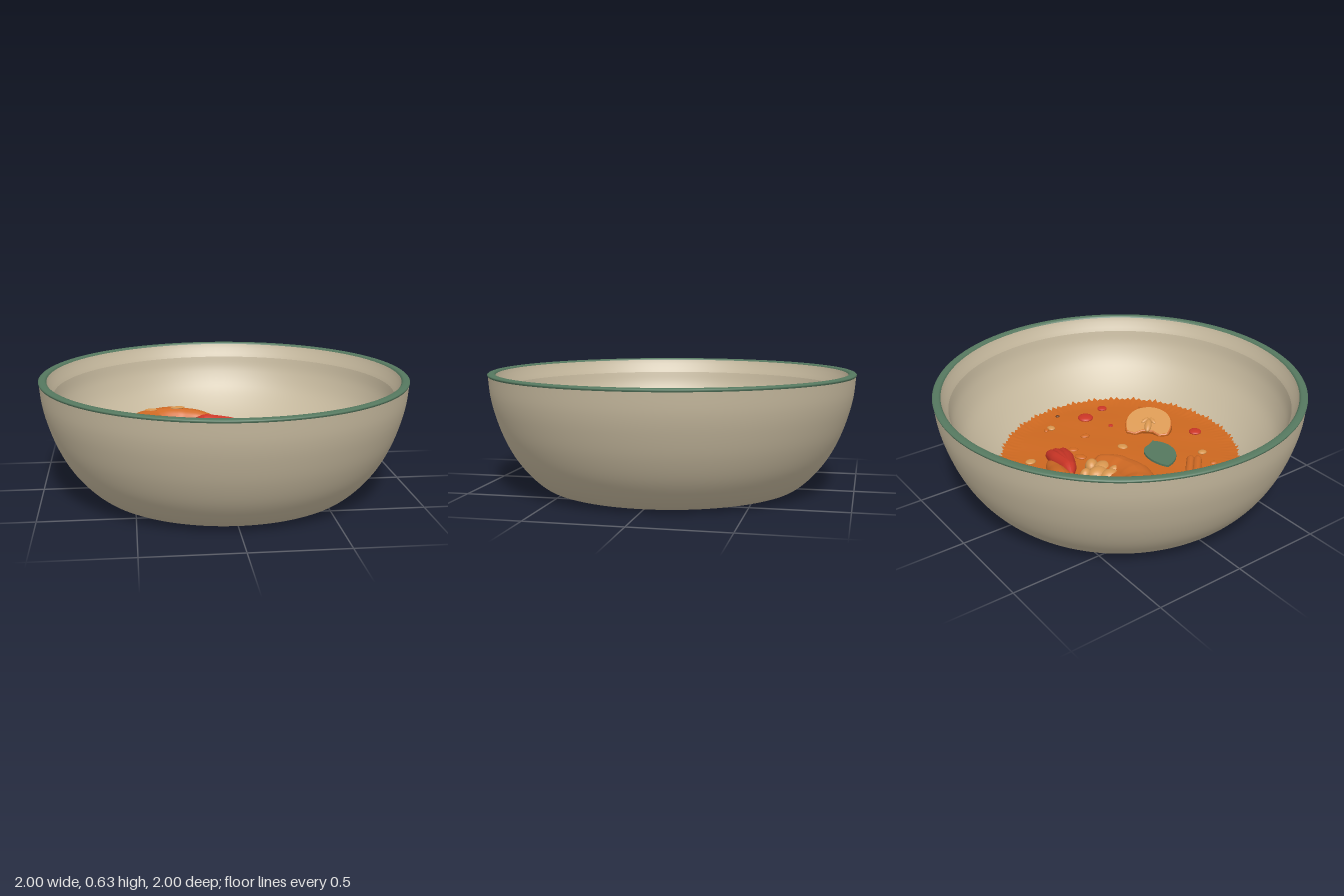
import * as THREE from 'three';

const mat = (name, color) => {
  const m = new THREE.MeshStandardMaterial({ color });
  m.name = name;
  return m;
};
const M = {
  cream: mat('cream ceramic', 0xc6b99e),
  green: mat('green glaze', 0x55785f),
  orange: mat('orange broth', 0xcd6820),
  shrimp: mat('shrimp orange', 0xd06a24),
  tan: mat('pale tan', 0xd6954e),
  red: mat('chilli red', 0xca3526),
  dark: mat('dark speck', 0x6b3a1c),
};
const SOUP = 0.195;

export function createModel() {
  const root = new THREE.Group();
  const add = (name, geo, material, parent = root) => {
    const m = new THREE.Mesh(geo, material);
    m.name = name;
    parent.add(m);
    return m;
  };
  const v2 = (pts) => pts.map(([x, y]) => new THREE.Vector2(x, y));
  const lathe = (pts) => new THREE.LatheGeometry(v2(pts), 128);
  const smoothLathe = (pts, n) => new THREE.LatheGeometry(new THREE.SplineCurve(v2(pts)).getPoints(n), 128);

  // Ellipsoid lying in the broth
  const blob = (name, x, y, z, sx, sy, sz, material, turn = 0, parent = root) => {
    const m = add(name, new THREE.SphereGeometry(1, 20, 14), material, parent);
    m.position.set(x, y, z);
    m.scale.set(sx, sy, sz);
    m.rotation.y = turn;
  };

  // Tube through [x, y, z, radius] points, with an optional ripple along its length
  const taper = (pts, n = 40, sides = 16, ripple = () => 1) => {
    const curve = new THREE.CatmullRomCurve3(pts.map((p) => new THREE.Vector3(p[0], p[1], p[2])));
    const geo = new THREE.TubeGeometry(curve, n, 1, sides, false);
    const pos = geo.attributes.position;
    const v = new THREE.Vector3();
    for (let i = 0; i <= n; i++) {
      const u = i / n;
      const t = curve.getUtoTmapping(u) * (pts.length - 1);
      const k = Math.min(Math.floor(t), pts.length - 2);
      const r = THREE.MathUtils.lerp(pts[k][3], pts[k + 1][3], t - k) * ripple(u);
      const c = curve.getPointAt(u);
      for (let j = 0; j <= sides; j++) {
        const id = i * (sides + 1) + j;
        v.fromBufferAttribute(pos, id).sub(c).multiplyScalar(r).add(c);
        pos.setXYZ(id, v.x, v.y, v.z);
      }
    }
    geo.computeVertexNormals();
    return geo;
  };

  // Bowl: foot, outer wall, glazed rim, inner lip and basin
  const bowl = new THREE.Group();
  bowl.name = 'bowl';
  root.add(bowl);
  add('bowlFoot', lathe([[0, 0.004], [0.62, 0.004], [0.66, 0.008]]), M.cream, bowl);
  add('bowlOuterWall', smoothLathe([[0.66, 0.008], [0.71, 0.025], [0.785, 0.09], [0.86, 0.185],
    [0.92, 0.3], [0.962, 0.42], [0.985, 0.52], [0.995, 0.621]], 36), M.cream, bowl);
  add('bowlRim', smoothLathe([[0.995, 0.621], [0.998, 0.63], [0.99, 0.636], [0.975, 0.638],
    [0.961, 0.636], [0.954, 0.628]], 16), M.green, bowl);
  add('bowlInnerLip', lathe([[0.954, 0.628], [0.946, 0.603], [0.93, 0.573], [0.92, 0.552]]), M.cream, bowl);
  add('bowlBasin', smoothLathe([[0.92, 0.552], [0.9, 0.47], [0.85, 0.37], [0.77, 0.28],
    [0.68, 0.205], [0.6, 0.16], [0.4, 0.125], [0, 0.115]], 32), M.cream, bowl);

  // Broth surface with gentle ripples and a ragged edge climbing the wall
  const SEG = 240, RINGS = 14;
  const soup = new THREE.RingGeometry(0.001, 0.657, SEG, RINGS);
  soup.rotateX(-Math.PI / 2);
  const sp = soup.attributes.position;
  for (let i = 0; i < sp.count; i++) {
    const ring = Math.floor(i / (SEG + 1)), j = (i % (SEG + 1)) % SEG;
    const x = sp.getX(i), z = sp.getZ(i);
    if (ring === RINGS) {
      const k = j % 2 ? (0.669 + 0.006 * Math.sin(j * 2.3)) / 0.657 : 1;
      sp.setXYZ(i, x * k, SOUP + 0.005 + (k - 1) * 0.5, z * k);
    } else sp.setY(i, SOUP + 0.003 * Math.sin(x * 13 + 1) * Math.cos(z * 15));
  }
  soup.computeVertexNormals();
  add('broth', soup, M.orange);

  // Shrimp: curled body with shell segments, filled inside the curl
  const shrimp = new THREE.Group();
  shrimp.name = 'shrimp';
  root.add(shrimp);
  const shell = (u) => 0.98 + 0.05 * Math.abs(Math.sin(u * Math.PI * 7));
  add('shrimpBody', taper([[-0.01, 0.2, -0.18, 0.002], [-0.035, 0.2, -0.175, 0.06],
    [-0.15, 0.195, -0.13, 0.092], [-0.3, 0.195, -0.125, 0.107], [-0.41, 0.205, -0.19, 0.112],
    [-0.455, 0.215, -0.3, 0.107], [-0.43, 0.225, -0.41, 0.1], [-0.34, 0.235, -0.485, 0.092],
    [-0.23, 0.245, -0.505, 0.08], [-0.12, 0.245, -0.475, 0.068], [-0.02, 0.235, -0.435, 0.05],
    [0.07, 0.222, -0.405, 0.034], [0.17, 0.2, -0.365, 0.004]], 110, 22, shell), M.shrimp, shrimp);
  add('shrimpInnerBelly', taper([[-0.2, 0.2, -0.42, 0.004], [-0.31, 0.21, -0.38, 0.065],
    [-0.34, 0.215, -0.27, 0.075], [-0.26, 0.205, -0.21, 0.065], [-0.13, 0.195, -0.2, 0.06],
    [-0.05, 0.19, -0.22, 0.045]], 40), M.shrimp, shrimp);
  blob('shrimpCurlFill', -0.18, 0.19, -0.29, 0.13, 0.05, 0.09, M.shrimp, 0, shrimp);

  // Pale meat lobes in the curl
  for (const [x, z, r] of [[-0.22, -0.225, 0.055], [-0.16, -0.265, 0.06], [-0.13, -0.215, 0.06],
    [-0.075, -0.245, 0.045], [-0.135, -0.325, 0.038], [-0.2, -0.18, 0.04]]) {
    blob('shrimpMeat', x, 0.235, z, r, 0.04, r * 0.8, M.tan, x * 9, shrimp);
  }
  // Pale markings on the back
  for (const [x, y, z, sx, sz] of [[-0.39, 0.325, -0.46, 0.038, 0.022], [-0.23, 0.326, -0.495, 0.045, 0.024],
    [-0.08, 0.294, -0.455, 0.03, 0.02]]) {
    blob('shrimpMarking', x, y, z, sx, 0.007, sz, M.tan, 0.2, shrimp);
  }
  // Red tail fan
  for (const [ex, ez, mx, mz] of [[0.215, -0.335, 0.08, -0.37], [0.22, -0.295, 0.07, -0.345],
    [0.2, -0.25, 0.055, -0.32]]) {
    add('shrimpTailFin', taper([[-0.13, 0.27, -0.41, 0.012], [-0.07, 0.27, -0.385, 0.04],
      [mx, 0.25, mz, 0.04], [(mx + ex) / 2 + 0.02, 0.228, (mz + ez) / 2, 0.03], [ex, 0.2, ez, 0.01]], 24, 12),
    M.red, shrimp);
  }

  // Mushroom slice: half cap tilted up on its round side, with a stem in the middle
  const mushroom = new THREE.Group();
  mushroom.name = 'mushroomSlice';
  mushroom.position.set(0.093, SOUP + 0.015, 0.267);
  mushroom.rotation.y = -Math.PI / 4;
  root.add(mushroom);
  const tilt = new THREE.Group();
  tilt.name = 'mushroomTilt';
  tilt.rotation.z = 0.42;
  mushroom.add(tilt);
  const cap = new THREE.Shape(v2([[0, -0.03], [-0.025, -0.07], [-0.015, -0.115]]));
  cap.bezierCurveTo(0.08, -0.155, 0.165, -0.11, 0.17, 0);
  cap.bezierCurveTo(0.165, 0.11, 0.08, 0.155, -0.015, 0.115);
  cap.lineTo(-0.025, 0.07);
  cap.lineTo(0, 0.03);
  const capBody = new THREE.ExtrudeGeometry(cap, { depth: 0.05, bevelEnabled: true, bevelSize: 0.008,
    bevelThickness: 0.008, bevelSegments: 2, curveSegments: 20 });
  capBody.rotateX(-Math.PI / 2);
  add('mushroomCap', capBody, M.orange, tilt).position.y = -0.05;
  const face = new THREE.ShapeGeometry(cap, 20);
  face.rotateX(-Math.PI / 2);
  add('mushroomFace', face, M.tan, tilt).position.y = 0.011;
  blob('mushroomStem', 0.03, 0.012, 0, 0.045, 0.016, 0.02, M.tan, 0, tilt);
  for (const s of [-1, 1]) blob('mushroomGill', 0.07, 0.01, s * 0.022, 0.028, 0.01, 0.012, M.tan, s * 0.7, tilt);

  // Herb leaf
  const leafShape = new THREE.Shape();
  leafShape.moveTo(-0.145, 0.01);
  leafShape.bezierCurveTo(-0.09, 0.08, 0.04, 0.11, 0.09, 0.05);
  leafShape.quadraticCurveTo(0.11, 0.01, 0.14, -0.01);
  leafShape.bezierCurveTo(0.09, -0.12, -0.08, -0.12, -0.145, 0.01);
  const leafGeo = new THREE.ExtrudeGeometry(leafShape, { depth: 0.012, bevelEnabled: false, curveSegments: 16 });
  leafGeo.rotateX(-Math.PI / 2);
  const leaf = add('herbLeaf', leafGeo, M.green);
  leaf.position.set(-0.145, SOUP + 0.003, 0.17);
  leaf.rotation.y = -0.28;

  // Lemongrass stick, made of two ridges, and a curled strand
  for (const [d, r] of [[-0.014, 0.024], [0.014, 0.022]]) {
    add('lemongrassStick', taper([[-0.475 + d, SOUP, 0.125 - d, 0.004], [-0.47 + d, SOUP, 0.13 - d, r],
      [-0.38 + d, SOUP + 0.004, 0.215 - d, r], [-0.3 + d, SOUP + 0.006, 0.29 - d, r],
      [-0.29 + d, SOUP + 0.004, 0.3 - d, 0.002]], 24, 12), M.shrimp);
  }
  add('curledStrand', taper([[0.19, SOUP, 0.47, 0.004], [0.27, SOUP, 0.465, 0.012],
    [0.34, SOUP, 0.435, 0.012], [0.39, SOUP, 0.43, 0.003]], 24, 10), M.orange);

  // Chilli rounds
  for (const [x, z, r] of [[-0.57, 0.04, 0.05], [0.46, 0.08, 0.046], [0.5, 0.23, 0.029],
    [-0.06, 0.5, 0.036], [0.29, 0.145, 0.015]]) {
    blob('chilliRound', x, SOUP + 0.004, z, r, r * 0.35, r, M.red);
  }
  // Pale garnish crumbs
  for (const [x, z, r] of [[0.215, -0.455, 0.03], [0.475, -0.155, 0.026], [0.05, 0.055, 0.03],
    [-0.265, 0.38, 0.025]]) {
    blob('paleCrumb', x, SOUP + 0.002, z, r, 0.01, r * 0.85, M.tan, x * 7);
  }
  // Small lumps under the broth
  for (const [x, z, r] of [[-0.39, 0.355, 0.022], [0.28, -0.045, 0.028], [-0.47, 0.23, 0.024],
    [0.1, -0.2, 0.035], [0.19, -0.19, 0.03], [0.47, -0.19, 0.02]]) {
    blob('brothLump', x, SOUP, z, r, 0.01, r * 0.7, M.orange, x * 5);
  }
  blob('pepperSpeck', 0.575, SOUP + 0.003, -0.045, 0.012, 0.007, 0.012, M.dark);

  return root;
}
